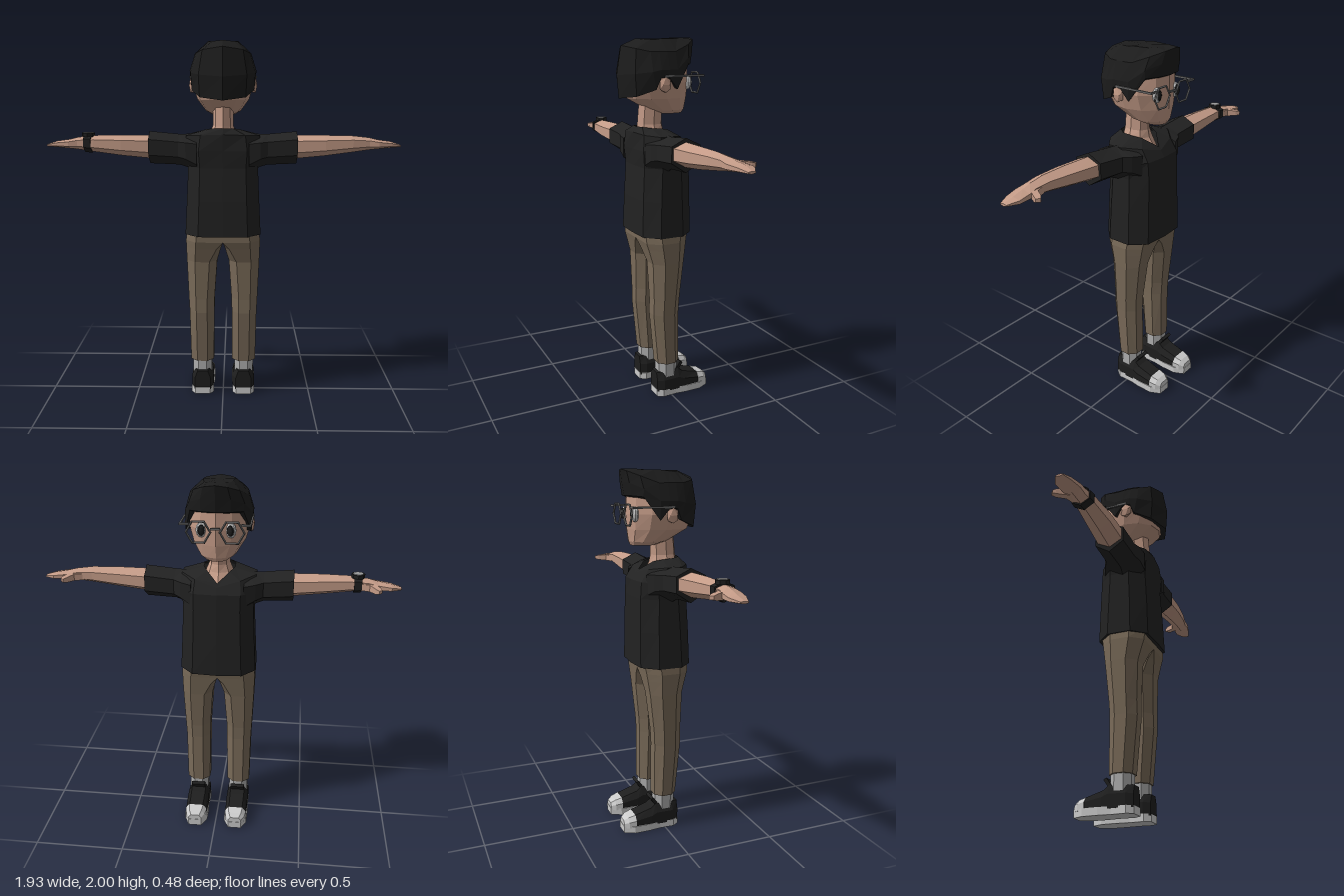
import * as THREE from 'three';

const mat = (color) => new THREE.MeshStandardMaterial({ color, flatShading: true, side: THREE.DoubleSide });
const skin = mat(0xc59c88), shirt = mat(0x222222), hairMat = mat(0x1c1c1c), cloth = mat(0x7a6b59);
const black = mat(0x1e1e1e), rubber = mat(0xbdbdbd), sockMat = mat(0xb0b0b0), metal = mat(0x666666);

function add(parent, name, geometry, material) {
  const mesh = new THREE.Mesh(geometry, material);
  mesh.name = name;
  parent.add(mesh);
  return mesh;
}

// Skin a list of cross-sections (rings of [x,y,z]); flips itself so faces point outward
function loft(rings, capStart = true, capEnd = true) {
  const n = rings[0].length, pos = rings.flat(2), idx = [];
  rings.slice(1).forEach((_, r) => {
    for (let i = 0; i < n; i++) {
      const a = r * n + i, b = r * n + (i + 1) % n;
      idx.push(a, b, a + n, b, b + n, a + n);
    }
  });
  const cap = (r, flip) => {
    const c = pos.length / 3;
    for (let k = 0; k < 3; k++) pos.push(rings[r].reduce((s, p) => s + p[k], 0) / n);
    for (let i = 0; i < n; i++) {
      const a = r * n + i, b = r * n + (i + 1) % n;
      idx.push(...(flip ? [b, a, c] : [a, b, c]));
    }
  };
  if (capStart) cap(0, true);
  if (capEnd) cap(rings.length - 1, false);
  const v = (i) => new THREE.Vector3().fromArray(pos, i * 3).sub(new THREE.Vector3(...rings[0][0]));
  let volume = 0;
  for (let i = 0; i < idx.length; i += 3) volume += v(idx[i]).dot(v(idx[i + 1]).cross(v(idx[i + 2])));
  if (volume < 0) idx.reverse();
  const g = new THREE.BufferGeometry();
  g.setAttribute('position', new THREE.Float32BufferAttribute(pos, 3));
  g.setIndex(idx);
  g.computeVertexNormals();
  return g;
}

// Complete a half ring that starts and ends on x = 0
const mirror = (half) => [...half, ...half.slice(1, -1).reverse().map(([x, y, z]) => [-x, y, z])];

// Horizontal ellipse ring
const ellipse = (y, zc, rx, rz, n = 12) => Array.from({ length: n }, (_, i) => {
  const a = (i / n) * Math.PI * 2;
  return [Math.sin(a) * rx, y, zc - Math.cos(a) * rz];
});

// Six-sided ring across an arm, with a ridge on top and below
const armRing = (s) => ([x, y0, y1, z0, z1]) => {
  const zc = (z0 + z1) / 2, a = y0 + (y1 - y0) * 0.3, b = y0 + (y1 - y0) * 0.78;
  return [[zc, y1], [z1, b], [z1, a], [zc, y0], [z0, a], [z0, b]].map(([z, y]) => [s * x, y, z]);
};

// Chamfered ring around a leg; ki is the inner chamfer
const legRing = (s) => ([y, x0, x1, zf, zb, ki]) => {
  const w = x1 - x0, d = zb - zf, i = x0 + w * ki, o = x1 - w * 0.28;
  const f = zf + d * ki, b = zb - d * ki;
  return [[i, zf], [o, zf], [x1, zf + d * 0.28], [x1, zb - d * 0.28], [o, zb], [i, zb], [x0, b], [x0, f]]
    .map(([x, z]) => [s * x, y, z]);
};

function buildHead() {
  const head = new THREE.Group();
  head.name = 'head';
  add(head, 'face', loft([
    ellipse(1.605, -0.065, 0.06, 0.07), ellipse(1.625, -0.04, 0.095, 0.105), ellipse(1.69, 0.015, 0.14, 0.17),
    ellipse(1.77, 0.03, 0.165, 0.19), ellipse(1.87, 0.03, 0.155, 0.185), ellipse(1.94, 0.03, 0.1, 0.13),
  ]), skin);

  // Hair: hairline, sides, crown edge and flat top, from forehead to nape
  add(head, 'hair', loft([
    [[0, 1.865, -0.168], [0.075, 1.865, -0.155], [0.135, 1.86, -0.11], [0.17, 1.74, -0.03], [0.175, 1.8, 0.02],
      [0.173, 1.8, 0.065], [0.165, 1.74, 0.09], [0.12, 1.705, 0.18], [0, 1.69, 0.23]],
    [[0, 1.93, -0.18], [0.075, 1.93, -0.165], [0.14, 1.9, -0.11], [0.172, 1.84, -0.03], [0.177, 1.84, 0.02],
      [0.177, 1.84, 0.065], [0.17, 1.83, 0.11], [0.125, 1.82, 0.19], [0, 1.81, 0.24]],
    [[0, 2, -0.19], [0.06, 1.99, -0.175], [0.115, 1.965, -0.12], [0.146, 1.93, -0.03], [0.15, 1.93, 0.02],
      [0.148, 1.93, 0.065], [0.14, 1.93, 0.11], [0.105, 1.945, 0.175], [0, 1.96, 0.215]],
    [[0, 2, -0.12], [0.045, 2, -0.115], [0.065, 1.995, -0.08], [0.075, 1.995, -0.03], [0.08, 1.995, 0.02],
      [0.08, 1.99, 0.05], [0.075, 1.99, 0.08], [0.055, 1.99, 0.11], [0, 1.995, 0.13]],
  ].map(mirror)), hairMat);

  for (const s of [1, -1]) {
    const ear = add(head, 'ear', new THREE.IcosahedronGeometry(1, 0), skin);
    ear.scale.set(0.02, 0.046, 0.036);
    ear.position.set(s * 0.165, 1.765, 0.04);

    const eye = add(head, 'eye', new THREE.SphereGeometry(1, 10, 6), rubber);
    eye.scale.set(0.029, 0.04, 0.022);
    eye.position.set(s * 0.075, 1.77, -0.135);
    eye.rotation.y = s * 0.3;
    const pupil = add(head, 'pupil', new THREE.SphereGeometry(1, 8, 6), black);
    pupil.scale.set(0.02, 0.029, 0.012);
    pupil.position.set(s * 0.073, 1.77, -0.149);
    pupil.rotation.y = s * 0.3;

    // Glasses: hexagonal rim, hinge and temple
    add(head, 'glassesRim', new THREE.TorusGeometry(0.061, 0.006, 4, 6), metal).position.set(s * 0.085, 1.768, -0.178);
    add(head, 'glassesHinge', new THREE.BoxGeometry(0.05, 0.01, 0.01), metal).position.set(s * 0.155, 1.808, -0.178);
    add(head, 'glassesTemple', new THREE.BoxGeometry(0.008, 0.01, 0.23), metal).position.set(s * 0.176, 1.808, -0.068);
  }
  add(head, 'glassesBridge', new THREE.BoxGeometry(0.05, 0.01, 0.01), metal).position.set(0, 1.785, -0.178);
  return head;
}

function buildTorso() {
  const torso = new THREE.Group();
  torso.name = 'torso';
  add(torso, 'neck', loft([
    ellipse(1.42, 0.03, 0.08, 0.12, 8), ellipse(1.51, 0.05, 0.073, 0.08, 8),
    ellipse(1.55, 0.052, 0.056, 0.073, 8), ellipse(1.66, 0.045, 0.054, 0.07, 8),
  ]), skin);
  const bodyRing = ([y, w, zf, zb]) => [[0, y, zf], [0.65 * w, y, zf + 0.01], [w, y, zf + 0.09],
    [w, y, zb - 0.08], [0.65 * w, y, zb - 0.005], [0, y, zb]];
  // Shirt body rises to an open V-shaped collar
  add(torso, 'shirtBody', loft([
    ...[[0.955, 0.208, -0.14, 0.162], [1.15, 0.198, -0.138, 0.155], [1.33, 0.19, -0.135, 0.145]].map(bodyRing),
    [[0, 1.42, -0.13], [0.125, 1.42, -0.12], [0.2, 1.42, -0.05], [0.2, 1.42, 0.09], [0.13, 1.42, 0.148], [0, 1.42, 0.15]],
    [[0, 1.455, -0.108], [0.12, 1.485, -0.078], [0.2, 1.5, 0], [0.2, 1.5, 0.08], [0.12, 1.505, 0.14], [0, 1.51, 0.152]],
    [[0, 1.472, -0.09], [0.06, 1.52, -0.028], [0.083, 1.53, 0.02], [0.083, 1.535, 0.08], [0.055, 1.54, 0.12], [0, 1.54, 0.135]],
  ].map(mirror), true, false), shirt);
  return torso;
}

function buildArm(s) {
  const arm = new THREE.Group();
  arm.name = s > 0 ? 'leftArm' : 'rightArm';
  add(arm, 'sleeve', loft([
    [0.14, 1.28, 1.51, -0.1, 0.145], [0.2, 1.325, 1.505, -0.075, 0.14], [0.24, 1.338, 1.505, -0.045, 0.125],
    [0.4, 1.345, 1.52, -0.04, 0.122],
  ].map(armRing(s))), shirt);
  add(arm, 'forearmAndHand', loft([
    [0.37, 1.37, 1.5, -0.03, 0.113], [0.55, 1.388, 1.5, -0.015, 0.112], [0.7, 1.408, 1.497, -0.003, 0.098],
    [0.79, 1.42, 1.487, -0.002, 0.082], [0.84, 1.425, 1.475, -0.012, 0.084], [0.91, 1.43, 1.465, -0.02, 0.068],
    [0.963, 1.435, 1.448, 0.01, 0.05],
  ].map(armRing(s))), skin);
  // Thumb as four-sided sections running outward and forward
  const thumbRing = ([xa, za, xb, zb, h]) => [[xa, 1.45 + h, za], [xb, 1.45 + h, zb], [xb, 1.45 - h, zb], [xa, 1.45 - h, za]]
    .map(([x, y, z]) => [s * x, y, z]);
  add(arm, 'thumb', loft([
    [0.73, 0.005, 0.8, 0.045, 0.018], [0.795, -0.016, 0.832, -0.012, 0.018],
    [0.82, -0.06, 0.85, -0.046, 0.014], [0.838, -0.078, 0.855, -0.062, 0.009],
  ].map(thumbRing)), skin);
  return arm;
}

function buildLeg(s) {
  const leg = new THREE.Group();
  leg.name = s > 0 ? 'leftLeg' : 'rightLeg';
  add(leg, 'trouserLeg', loft([
    [0.985, 0, 0.198, -0.112, 0.142, 0], [0.92, 0, 0.206, -0.1, 0.14, 0], [0.88, 0.012, 0.205, -0.094, 0.128, 0.12],
    [0.8, 0.033, 0.203, -0.082, 0.106, 0.25], [0.58, 0.048, 0.194, -0.058, 0.098, 0.28],
    [0.5, 0.05, 0.19, -0.054, 0.1, 0.28], [0.2, 0.053, 0.185, -0.056, 0.072, 0.28],
  ].map(legRing(s))), cloth);
  add(leg, 'sock', loft([[0.1, 0.065, 0.173, -0.05, 0.065, 0.28], [0.22, 0.065, 0.173, -0.05, 0.065, 0.28]]
    .map(legRing(s))), sockMat);

  const shoe = new THREE.Group();
  shoe.name = 'shoe';
  shoe.position.x = s * 0.118;
  leg.add(shoe);
  // Upper and toe cap: sections from heel to toe [z, half width, height]
  const shoeRing = ([z, w, h]) => [[-w, 0.03], [-w, 0.03 + (h - 0.03) * 0.6], [-0.65 * w, h], [0.65 * w, h],
    [w, 0.03 + (h - 0.03) * 0.6], [w, 0.03]].map(([x, y]) => [x, y, z]);
  add(shoe, 'shoeUpper', loft([[0.082, 0.045, 0.142], [0.045, 0.062, 0.145], [-0.05, 0.062, 0.148],
    [-0.08, 0.064, 0.125], [-0.18, 0.06, 0.096]].map(shoeRing)), black);
  add(shoe, 'toeCap', loft([[-0.175, 0.063, 0.098], [-0.215, 0.055, 0.087], [-0.24, 0.037, 0.07]].map(shoeRing)), rubber);
  const outline = [[-0.042, 0.084], [-0.064, 0.05], [-0.06, -0.03], [-0.067, -0.1], [-0.066, -0.185], [-0.038, -0.242]];
  const soleRing = (y) => [...outline, ...[...outline].reverse().map(([x, z]) => [-x, z])].map(([x, z]) => [x, y, z]);
  add(shoe, 'sole', loft([soleRing(0), soleRing(0.04)]), rubber);
  const tongue = add(shoe, 'tongue', new THREE.BoxGeometry(0.08, 0.075, 0.018), black);
  tongue.position.set(0, 0.152, -0.052);
  tongue.rotation.x = -0.6;
  return leg;
}

function buildWatch() {
  const watch = new THREE.Group();
  watch.name = 'wristwatch';
  add(watch, 'strap', loft([[0.715, 1.402, 1.505, -0.012, 0.1], [0.755, 1.406, 1.502, -0.01, 0.094]].map(armRing(-1))), black);
  add(watch, 'watchCase', new THREE.CylinderGeometry(0.036, 0.036, 0.02, 8), black).position.set(-0.735, 1.5, 0.04);
  add(watch, 'dial', new THREE.CylinderGeometry(0.028, 0.028, 0.004, 8), mat(0x999999)).position.set(-0.735, 1.511, 0.04);
  return watch;
}

export function createModel() {
  const model = new THREE.Group();
  model.name = 'standingFigure';
  model.add(buildHead(), buildTorso(), buildWatch());
  for (const s of [1, -1]) model.add(buildArm(s), buildLeg(s));
  return model;
}
